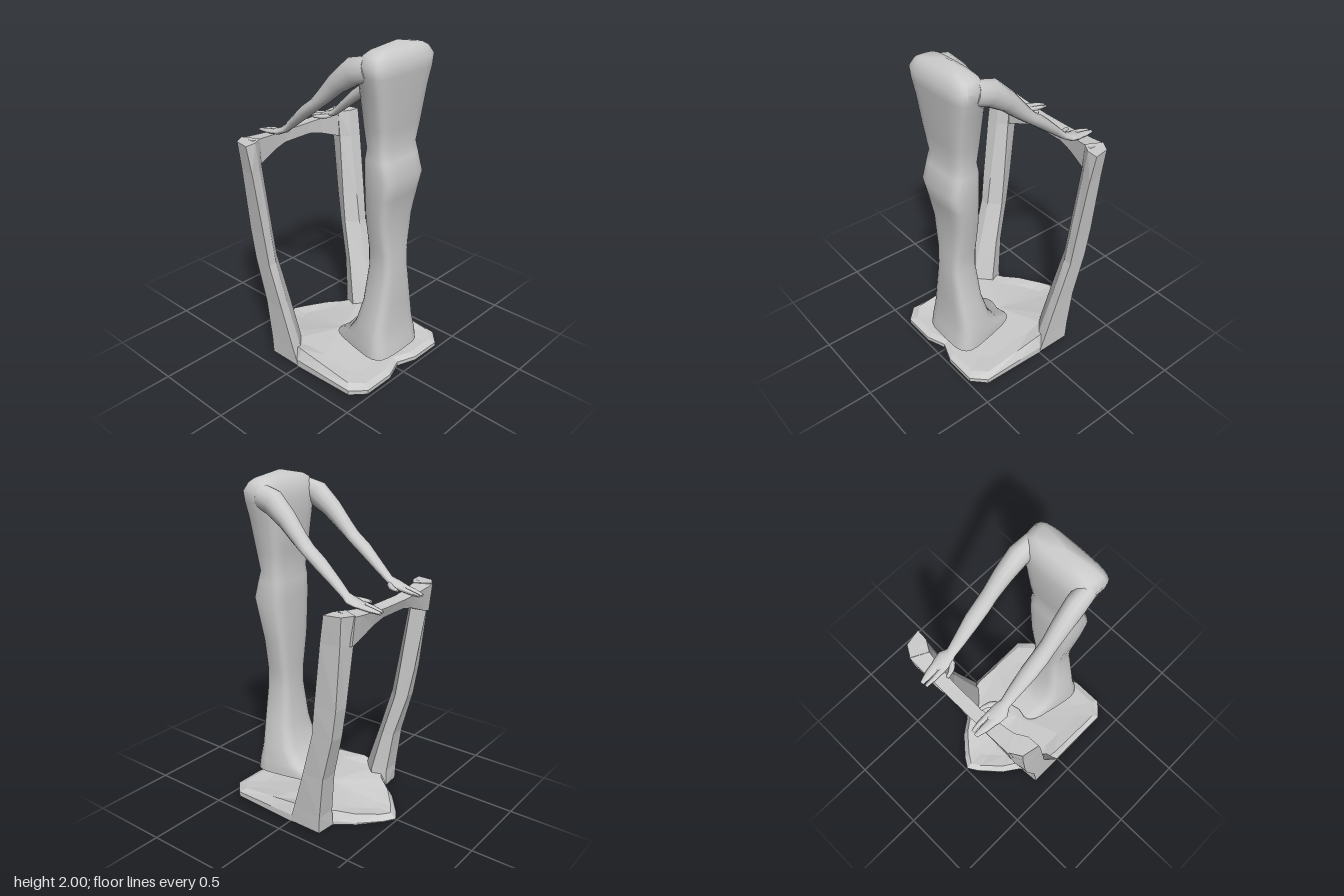
import * as THREE from 'three';
import { toCreasedNormals } from 'three/addons/utils/BufferGeometryUtils.js';

const smoothMat = new THREE.MeshStandardMaterial({ color: 0xcccccc });
const flatMat = new THREE.MeshStandardMaterial({ color: 0xcccccc, flatShading: true });

// Skin a list of equal-length rings, closing both ends with fans.
// capStart / capEnd optionally give the fan centres.
function loft(name, rings, { flat = false, crease = 0.9, capStart, capEnd } = {}) {
  const n = rings[0].length, pos = [], idx = [];
  rings.forEach(r => r.forEach(p => pos.push(...p)));
  for (let i = 0; i < rings.length - 1; i++)
    for (let j = 0; j < n; j++) {
      const k = (j + 1) % n, a = i * n + j, b = i * n + k;
      idx.push(a, b, b + n, a, b + n, a + n);
    }
  const cap = (ring, base, flip, centre) => {
    const c = centre || [0, 1, 2].map(d => ring.reduce((s, p) => s + p[d], 0) / n);
    const ci = pos.length / 3;
    pos.push(...c);
    for (let j = 0; j < n; j++) {
      const a = base + j, b = base + (j + 1) % n;
      idx.push(...(flip ? [ci, b, a] : [ci, a, b]));
    }
  };
  cap(rings[0], 0, true, capStart);
  cap(rings.at(-1), (rings.length - 1) * n, false, capEnd);

  // Turn every face outward using the sign of the enclosed volume
  const v = i => new THREE.Vector3().fromArray(pos, i * 3);
  let volume = 0;
  for (let t = 0; t < idx.length; t += 3)
    volume += v(idx[t]).dot(v(idx[t + 1]).cross(v(idx[t + 2])));
  if (volume < 0)
    for (let t = 0; t < idx.length; t += 3) [idx[t], idx[t + 1]] = [idx[t + 1], idx[t]];

  let g = new THREE.BufferGeometry();
  g.setAttribute('position', new THREE.Float32BufferAttribute(pos, 3));
  g.setIndex(idx);
  g.computeVertexNormals();
  g = flat ? g.toNonIndexed() : toCreasedNormals(g, crease);
  if (flat) g.computeVertexNormals();
  const mesh = new THREE.Mesh(g, flat ? flatMat : smoothMat);
  mesh.name = name;
  return mesh;
}

// Limb through sections [x, y, z, half width, half thickness], bending in the yz plane
function limb(name, sections, side) {
  const rings = sections.map(([x, y, z, w, t], i) => {
    const p = sections[Math.max(i - 1, 0)], q = sections[Math.min(i + 1, sections.length - 1)];
    const dy = q[1] - p[1], dz = q[2] - p[2], l = Math.hypot(dy, dz);
    return Array.from({ length: 12 }, (_, k) => {
      const a = k / 12 * Math.PI * 2, s = Math.sin(a) * t;
      return [side * (x + Math.cos(a) * w), y - s * dz / l, z + s * dy / l];
    });
  });
  return loft(name, rings, { crease: 1.2 });
}

// Gowned body: [y, half width at back, half width at front, z front, z back, front notch]
function body() {
  const sections = [
    [0.13, 0.22, 0.125, 0.005, 0.46, 0.035],
    [0.145, 0.218, 0.13, 0.02, 0.458, 0.035],
    [0.2, 0.205, 0.15, 0.12, 0.447, 0.02],
    [0.3, 0.18, 0.155, 0.195, 0.43, 0],
    [0.45, 0.145, 0.13, 0.235, 0.43, 0],
    [0.68, 0.102, 0.1, 0.255, 0.425, 0],
    [0.8, 0.108, 0.105, 0.256, 0.418, 0],
    [1.0, 0.142, 0.135, 0.25, 0.415, 0],
    [1.15, 0.163, 0.15, 0.25, 0.44, 0],
    [1.26, 0.17, 0.16, 0.25, 0.465, 0],
    [1.37, 0.165, 0.155, 0.25, 0.432, 0],
    [1.43, 0.157, 0.15, 0.262, 0.415, 0],
    [1.55, 0.178, 0.165, 0.248, 0.43, 0],
    [1.75, 0.222, 0.19, 0.235, 0.443, 0],
    [1.84, 0.245, 0.215, 0.24, 0.452, 0],
    [1.9, 0.25, 0.23, 0.25, 0.455, 0],
    [1.945, 0.222, 0.205, 0.275, 0.43, 0],
    [1.965, 0.185, 0.17, 0.295, 0.412, 0],
  ];
  const squash = c => Math.sign(c) * Math.abs(c) ** 0.5;
  const rings = sections.map(([y, wb, wf, z0, z1, notch]) =>
    Array.from({ length: 24 }, (_, k) => {
      const a = k / 24 * Math.PI * 2, u = squash(Math.cos(a)), v = squash(Math.sin(a));
      const x = u * THREE.MathUtils.lerp(wf, wb, (v + 1) / 2);
      const dip = v < 0 ? notch * (1 - Math.abs(u)) : 0;
      return [x, y, (z0 + z1) / 2 + v * (z1 - z0) / 2 + dip];
    }));
  return loft('gownedBody', rings, { capEnd: [0, 2, 0.355] });
}

// Arm, palm, paired fingers and thumb for one side
function arm(side) {
  const g = new THREE.Group();
  g.name = side > 0 ? 'leftArm' : 'rightArm';
  g.add(
    limb('armAndPalm', [
      [0.185, 1.875, 0.33, 0.055, 0.07], [0.195, 1.85, 0.235, 0.06, 0.075],
      [0.202, 1.77, 0.13, 0.054, 0.058], [0.207, 1.68, 0.04, 0.047, 0.045],
      [0.208, 1.625, -0.02, 0.049, 0.036], [0.208, 1.565, -0.1, 0.048, 0.036],
      [0.205, 1.48, -0.2, 0.039, 0.027], [0.205, 1.415, -0.275, 0.031, 0.02],
      [0.21, 1.395, -0.315, 0.05, 0.02], [0.208, 1.382, -0.36, 0.046, 0.017],
      [0.205, 1.375, -0.39, 0.04, 0.012],
    ], side),
    limb('outerFingers', [[0.22, 1.382, -0.36, 0.03, 0.014],
      [0.215, 1.369, -0.44, 0.023, 0.012], [0.207, 1.358, -0.497, 0.012, 0.008]], side),
    limb('innerFingers', [[0.178, 1.382, -0.36, 0.018, 0.014],
      [0.176, 1.369, -0.44, 0.014, 0.012], [0.18, 1.358, -0.492, 0.01, 0.008]], side),
    limb('thumb', [[0.175, 1.395, -0.295, 0.022, 0.015],
      [0.15, 1.388, -0.325, 0.02, 0.015], [0.134, 1.385, -0.355, 0.013, 0.012],
      [0.127, 1.382, -0.383, 0.01, 0.009]], side));
  return g;
}

// Low dished base: bottom outline, rim and sunken floor
function base() {
  const half = [[0.12, 0.495], [0.32, 0.495], [0.4, 0.415], [0.4, 0.16], [0.4, 0],
    [0.37, -0.16], [0.26, -0.24], [0.19, -0.34], [0.065, -0.45]];
  const outline = [[0, 0.45], ...half, [0, -0.49], ...half.toReversed().map(([x, z]) => [-x, z])];
  const ring = (s, height) => outline.map(([x, z]) => [x * s, height(z), z * s]);
  const rim = z => (z > -0.05 ? 0.115 - 0.1 * (z + 0.05) : Math.max(0.03, 0.115 - 0.2 * (-0.05 - z)));
  return loft('base', [
    ring(1, z => Math.max(0, 0.04 * z)),
    ring(1, z => (z > 0 ? 0.045 : Math.max(0.004, 0.045 + 0.1 * z))),
    ring(0.92, rim),
    ring(0.72, z => Math.min(rim(z), 0.09)),
  ], { flat: true, capEnd: [0, 0.09, 0] });
}

// Angular leg leaning back, with five-sided sections
function leg(side) {
  const rings = [
    [0.005, [0.4, 0], [0.33, -0.02], [0.24, -0.14], [0.28, -0.23], [0.4, -0.22]],
    [0.11, [0.404, -0.035], [0.335, -0.05], [0.245, -0.14], [0.285, -0.228], [0.402, -0.225]],
    [0.37, [0.414, -0.115], [0.355, -0.125], [0.275, -0.195], [0.305, -0.26], [0.408, -0.255]],
    [0.64, [0.427, -0.195], [0.37, -0.2], [0.302, -0.265], [0.335, -0.335], [0.415, -0.325]],
    [0.83, [0.436, -0.22], [0.375, -0.23], [0.31, -0.29], [0.345, -0.37], [0.42, -0.355]],
    [1.21, [0.453, -0.275], [0.385, -0.29], [0.328, -0.335], [0.36, -0.425], [0.432, -0.39]],
    [1.375, [0.463, -0.305], [0.39, -0.31], [0.325, -0.348], [0.375, -0.445], [0.443, -0.405]],
  ].map(([y, ...pts]) => pts.map(([x, z]) => [side * x, y, z]));
  return loft(side > 0 ? 'leftLeg' : 'rightLeg', rings, { flat: true });
}

// Hand rail, arched underneath: [x, bottom y, top y, z front]
function rail() {
  const half = [[0.38, 1.2, 1.378, -0.34], [0.325, 1.215, 1.372, -0.348],
    [0.19, 1.265, 1.36, -0.366], [0.1, 1.285, 1.356, -0.374]];
  const stations = [...half, ...half.toReversed().map(([x, ...r]) => [-x, ...r])];
  return loft('handRail', stations.map(([x, b, t, z]) => [
    [x, b, z], [x, t, z], [x, t - 0.008, -0.447], [x, b + 0.005, -0.43]]), { flat: true });
}

export function createModel() {
  const model = new THREE.Group();
  model.name = 'figureAtRail';
  const figure = new THREE.Group();
  figure.name = 'figure';
  figure.position.x = 0.02;
  figure.add(body(), arm(1), arm(-1));
  const stand = new THREE.Group();
  stand.name = 'stand';
  stand.add(base(), leg(1), leg(-1), rail());
  model.add(figure, stand);
  return model;
}
